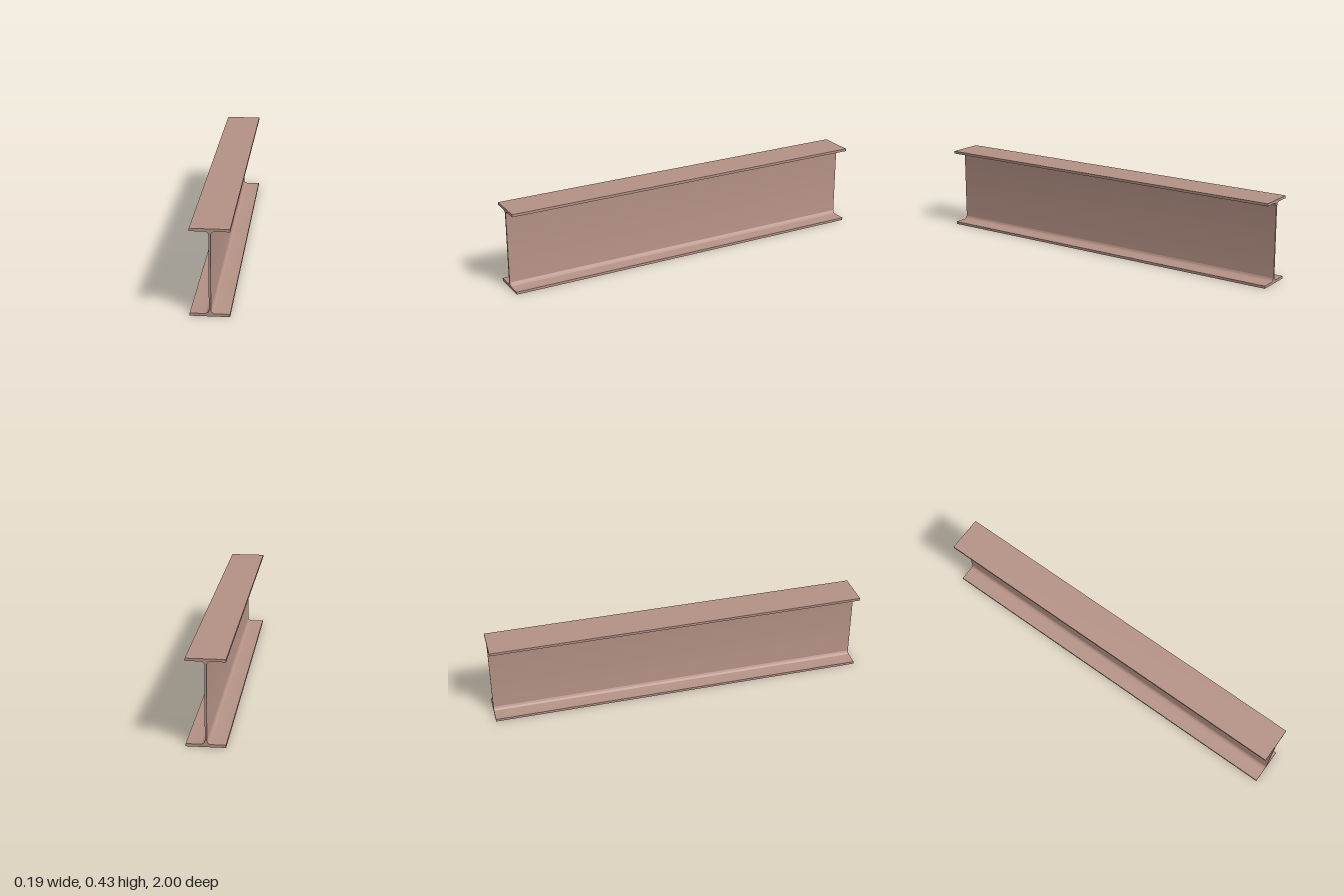
import * as THREE from 'three';
import { toCreasedNormals } from 'three/addons/utils/BufferGeometryUtils.js';

const LENGTH = 2;
const HEIGHT = 0.432;
const HALF_WIDTH = 0.0945;   // half the flange width
const FLANGE = 0.0135;       // flange thickness
const HALF_WEB = 0.0047;     // half the web thickness
const FILLET = 0.02;         // root radius between web and flange

// I-shaped cross-section, traced counter-clockwise
function beamProfile() {
  const shape = new THREE.Shape();
  const cx = HALF_WEB + FILLET;
  const low = FLANGE + FILLET;
  const high = HEIGHT - low;
  const q = Math.PI / 2;

  // right side, from the bottom up
  shape.moveTo(HALF_WIDTH, 0);
  shape.lineTo(HALF_WIDTH, FLANGE);
  shape.absarc(cx, low, FILLET, -q, -2 * q, true);
  shape.absarc(cx, high, FILLET, 2 * q, q, true);
  shape.lineTo(HALF_WIDTH, HEIGHT - FLANGE);
  shape.lineTo(HALF_WIDTH, HEIGHT);

  // left side, from the top down
  shape.lineTo(-HALF_WIDTH, HEIGHT);
  shape.lineTo(-HALF_WIDTH, HEIGHT - FLANGE);
  shape.absarc(-cx, high, FILLET, q, 0, true);
  shape.absarc(-cx, low, FILLET, 0, -q, true);
  shape.lineTo(-HALF_WIDTH, FLANGE);
  shape.lineTo(-HALF_WIDTH, 0);
  shape.closePath();
  return shape;
}

export function createModel() {
  const group = new THREE.Group();
  group.name = 'steelBeam';

  // rolled beam: one extrusion with smooth fillets and sharp edges
  const extrusion = new THREE.ExtrudeGeometry(beamProfile(), {
    depth: LENGTH, bevelEnabled: false, curveSegments: 10,
  });
  extrusion.translate(0, 0, -LENGTH / 2);
  const beam = new THREE.Mesh(
    toCreasedNormals(extrusion, Math.PI / 6),
    new THREE.MeshStandardMaterial({ color: 0xb59286 }),
  );
  beam.name = 'iBeam';
  group.add(beam);
  return group;
}
